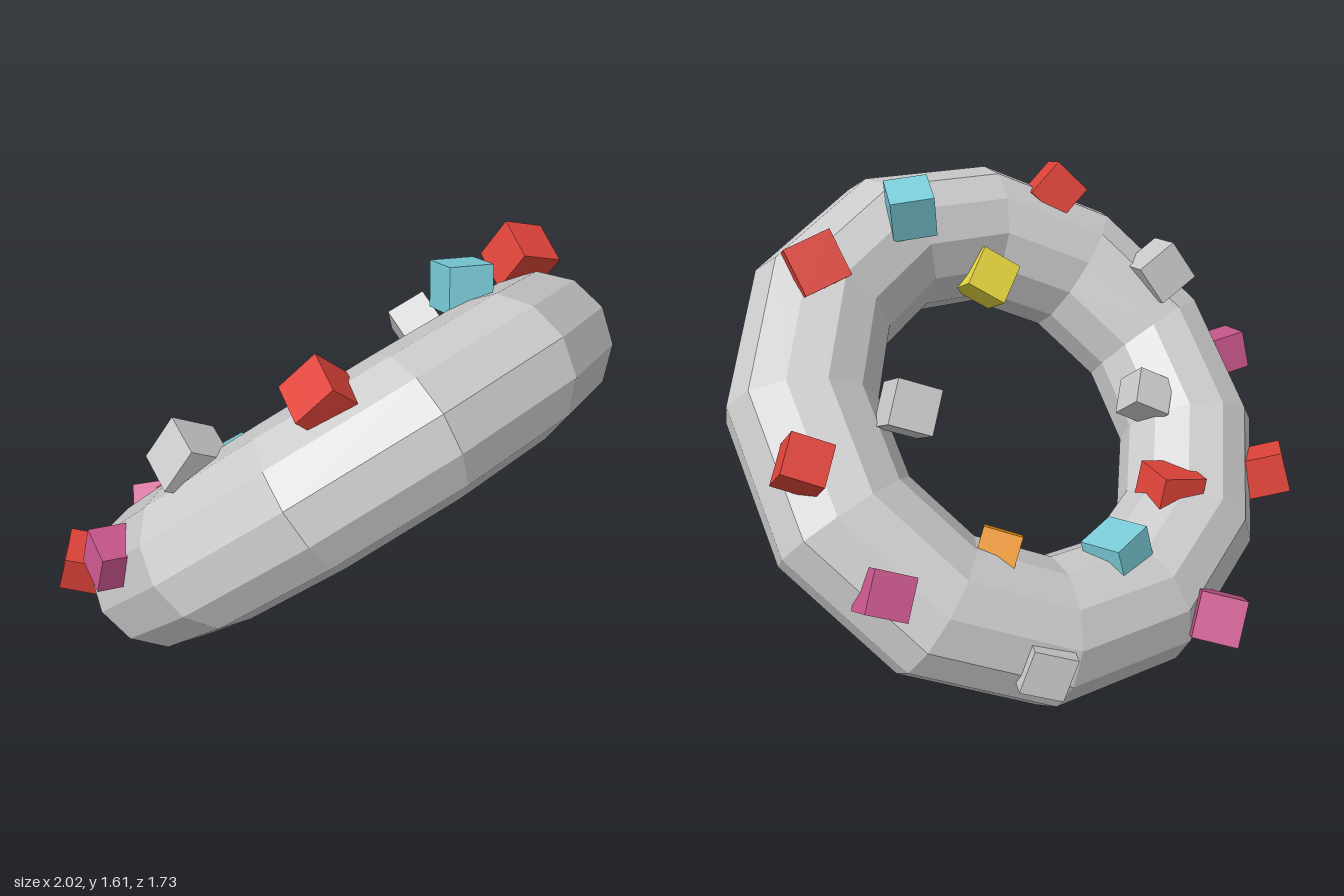
import * as THREE from 'three';

const RED = 0xe0443a, CYAN = 0x7accd8, PINK = 0xc8568c, YELLOW = 0xe6d640, ORANGE = 0xe8920c, GREY = 0xcccccc;

// Sprinkle cubes: colour, centre, rotation, size
const SPRINKLES = [
  [GREY, [0.05, 0.31, -0.79], [0.1, 0.05, 0.35], 0.15],
  [PINK, [0.54, 0.61, -0.77], [0.5, 0.3, 0.3], 0.14],
  [RED, [0.76, 0.98, -0.6], [0.75, 0.3, 0.3], 0.14],
  [RED, [0.69, 1.44, -0.11], [0.4, 0.1, -0.4], 0.16],
  [CYAN, [0.37, 1.52, 0.18], [-0.28, 0.1, -0.06], 0.15],
  [RED, [-0.19, 1.44, 0.58], [0.25, 0.1, 0.78], 0.15],
  [YELLOW, [0.1, 1.21, 0.3], [0.5, 0.3, 0.5], 0.15],
  [GREY, [-0.56, 1.17, 0.4], [0.2, 0.2, -0.6], 0.16],
  [PINK, [-0.82, 0.83, 0.39], [0.2, 0.2, -0.2], 0.14],
  [GREY, [-0.46, 0.78, 0.13], [0.75, 0.4, 0.3], 0.14],
  [RED, [-0.9, 0.51, 0], [0.15, -0.25, -0.25], 0.15],
  [RED, [-0.49, 0.55, -0.18], [0.05, 0.3, 0.2], 0.17],
  [PINK, [-0.58, 0.27, -0.56], [0.5, -0.15, 0.3], 0.16],
  [CYAN, [-0.25, 0.49, -0.46], [0.2, 0.7, -0.3], 0.16],
  [ORANGE, [0.17, 0.61, -0.57], [0.5, -0.1, 0.35], 0.13],
  [GREY, [0.43, 1.05, -0.4], [0.5, 0.3, 0.3], 0.15],
];

const material = (color) => new THREE.MeshStandardMaterial({ color, flatShading: true });

export function createModel() {
  const model = new THREE.Group();
  model.name = 'sprinkledRing';

  // Tilted ring: its axis is n, and u points at one of its twelve seams
  const n = new THREE.Vector3(-0.38, 0.71, -0.59).normalize();
  const v = n.clone().cross(new THREE.Vector3(0.508, 0.694, 0.51)).normalize();
  const u = v.clone().cross(n);
  const ring = new THREE.Mesh(new THREE.TorusGeometry(0.765, 0.252, 12, 12), material(GREY));
  ring.name = 'ring';
  ring.quaternion.setFromRotationMatrix(new THREE.Matrix4().makeBasis(u, v, n));
  ring.position.set(0.06, 0.784, 0);
  model.add(ring);

  // Cubes half sunk into the upper side of the ring
  SPRINKLES.forEach(([color, position, rotation, size], i) => {
    const cube = new THREE.Mesh(new THREE.BoxGeometry(size, size, size), material(color));
    cube.name = `sprinkle${i + 1}`;
    cube.position.set(...position);
    cube.rotation.set(...rotation);
    model.add(cube);
  });

  return model;
}
